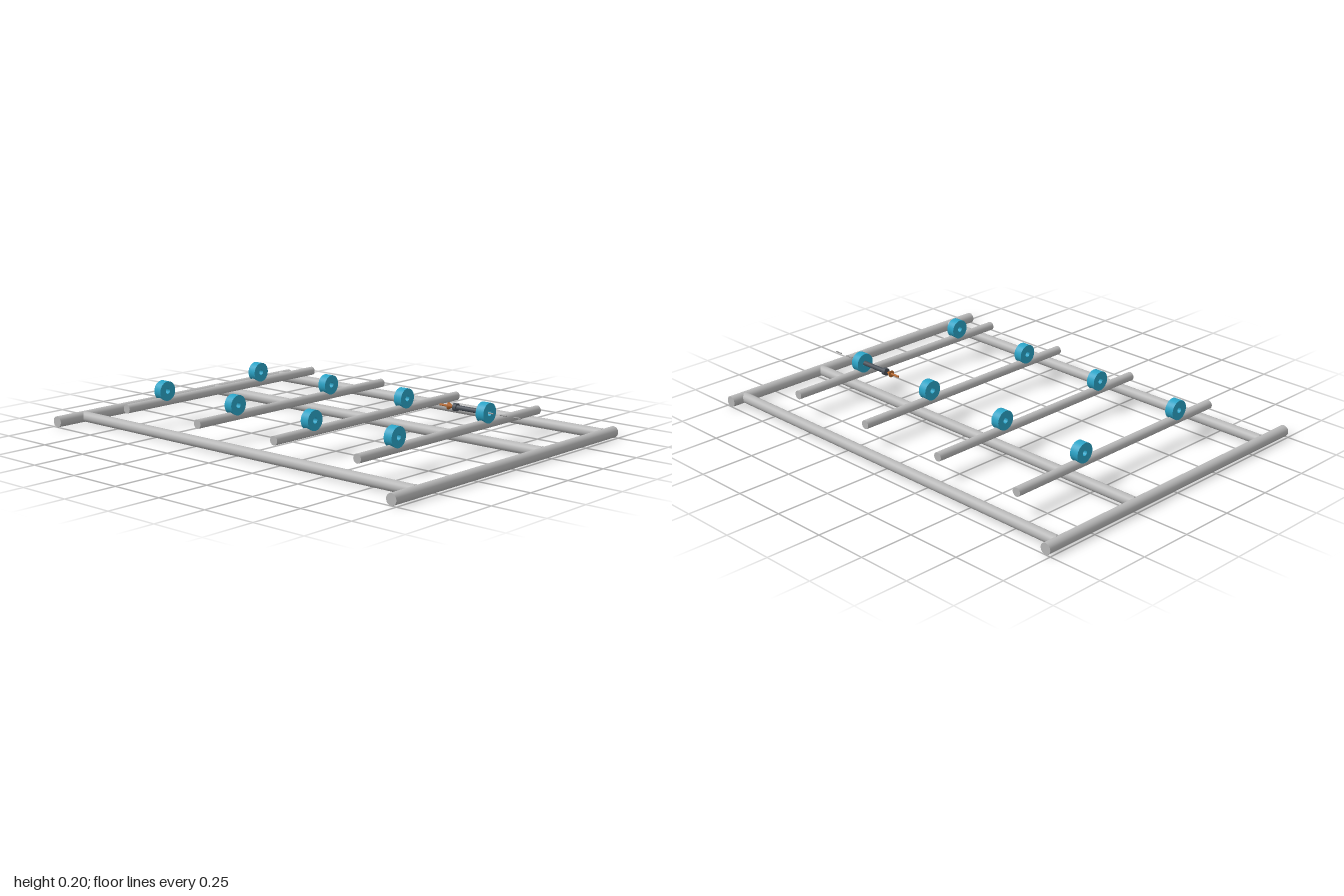
import * as THREE from 'three';

function material(name, color) {
  const m = new THREE.MeshStandardMaterial({ color });
  m.name = name;
  return m;
}

export function createModel() {
  const model = new THREE.Group();
  model.name = 'rollerFrame';
  const steel = material('steel grey', 0xb8b8b8);
  const blue = material('roller blue', 0x2ba3c6);
  const dark = material('bolt dark grey', 0x4a5058);
  const orange = material('arrow orange', 0xb8692c);
  const dashGrey = material('axis grey', 0x9a9a9a);

  const add = (name, geometry, mat, x, y, z) => {
    const mesh = new THREE.Mesh(geometry, mat);
    mesh.name = name;
    mesh.position.set(x, y, z);
    model.add(mesh);
  };
  const rodZ = (r, length) => new THREE.CylinderGeometry(r, r, length, 32).rotateX(Math.PI / 2);
  // rod along x; r0 is the radius at the -x end, r1 at the +x end
  const rodX = (r0, r1, length, sides = 32) =>
    new THREE.CylinderGeometry(r1, r0, length, sides).rotateZ(-Math.PI / 2);

  // Base frame
  for (const s of [-1, 1]) add('sideRail', rodZ(0.025, 1.5), steel, s * 0.975, 0.025, 0);
  for (const z of [-0.677, -0.227, 0.597]) add('crossRail', rodX(0.0235, 0.0235, 1.93), steel, 0, 0.0265, z);

  // Bored roller
  const ring = new THREE.Shape().absarc(0, 0, 0.0445, 0, Math.PI * 2, false);
  ring.holes.push(new THREE.Path().absarc(0, 0, 0.0125, 0, Math.PI * 2, true));
  const roller = new THREE.ExtrudeGeometry(ring, { depth: 0.041, bevelEnabled: false, curveSegments: 32 })
    .translate(0, 0, -0.0205).rotateY(Math.PI / 2);

  // Upper rails, each with two rollers
  const axisY = 0.152, axisZ = -0.225;
  for (const x of [-0.675, -0.225, 0.225, 0.675]) {
    add('upperRail', rodZ(0.02, 1.2), steel, x, 0.103, 0);
    for (const z of [axisZ, 0.373]) add('roller', roller, blue, x, axisY, z);
  }

  // Bolt entering one roller
  add('boltHead', rodX(0.017, 0.017, 0.018, 24), dark, 0.515, axisY, axisZ);
  add('boltShank', rodX(0.0105, 0.0105, 0.15, 24), dark, 0.595, axisY, axisZ);

  // Direction arrow
  add('arrowShaft', rodX(0.005, 0.005, 0.048, 12), orange, 0.453, axisY, axisZ);
  add('arrowTip', rodX(0.016, 0.0005, 0.03, 24), orange, 0.49, axisY, axisZ);

  // Dashed axis line
  for (const x of [0.695, 0.766, 0.838]) add('axisDash', rodX(0.003, 0.003, 0.037, 8), dashGrey, x, axisY, axisZ);

  return model;
}
